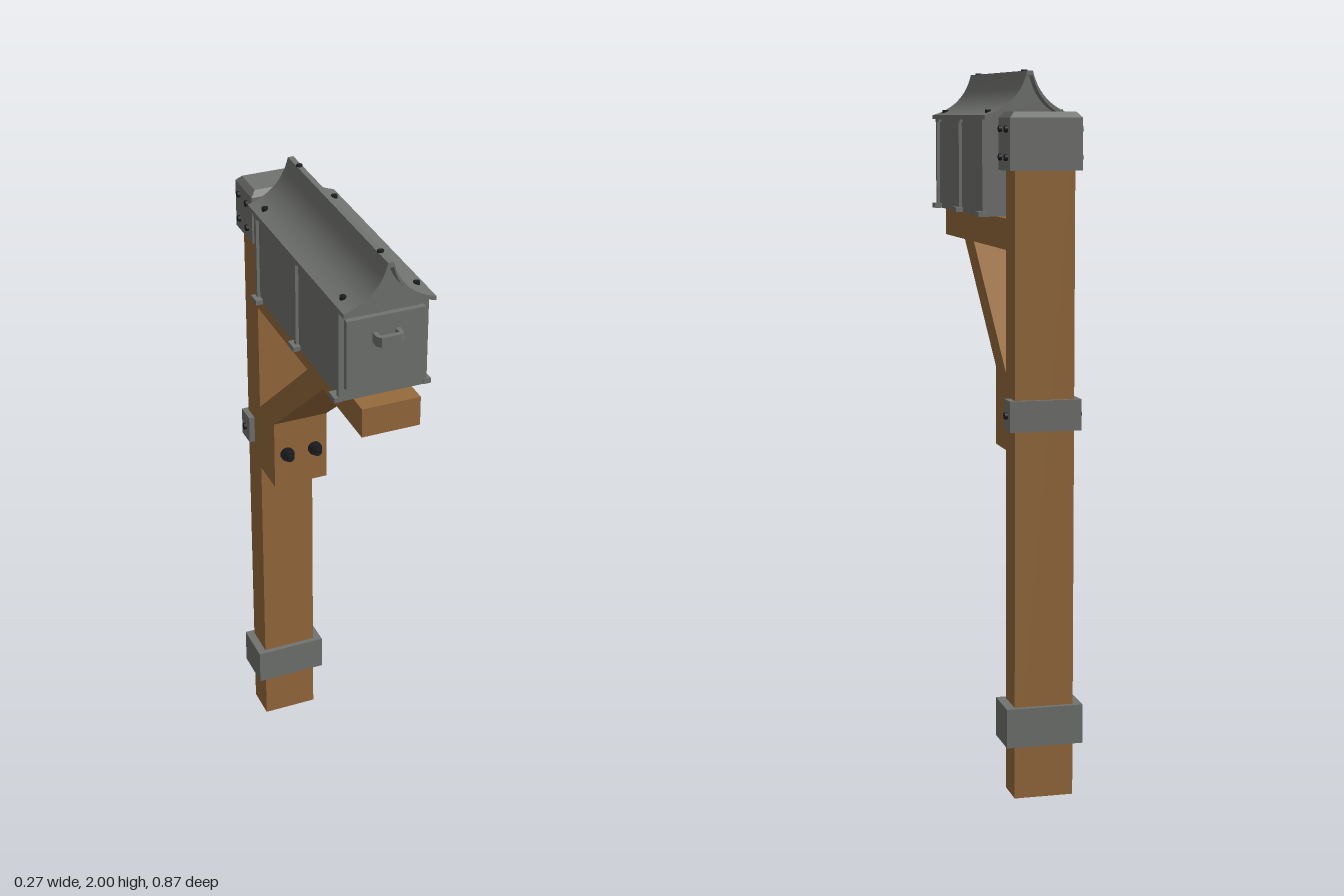
import * as THREE from 'three';
import { toCreasedNormals } from 'three/addons/utils/BufferGeometryUtils.js';

export function createModel() {
  const model = new THREE.Group();
  model.name = 'mailboxOnPost';

  const material = (name, color) => {
    const m = new THREE.MeshStandardMaterial({ color });
    m.name = name;
    return m;
  };
  const wood = material('wood', 0x966a3c);
  const metal = material('greyMetal', 0x717370);
  const iron = material('blackIron', 0x1d1e20);

  const add = (name, geometry, mat, parent = model) => {
    const mesh = new THREE.Mesh(geometry, mat);
    mesh.name = name;
    parent.add(mesh);
    return mesh;
  };
  // Box given by its limits on each axis
  const box = (name, mat, [x0, x1], [y0, y1], [z0, z1], parent = model) => {
    const g = new THREE.BoxGeometry(x1 - x0, y1 - y0, z1 - z0);
    g.translate((x0 + x1) / 2, (y0 + y1) / 2, (z0 + z1) / 2);
    return add(name, g, mat, parent);
  };
  const bolt = (name, axis, x, y, z, radius, length, sides = 12, parent = model) => {
    const g = new THREE.CylinderGeometry(radius, radius, length, sides);
    if (axis === 'x') g.rotateZ(Math.PI / 2);
    if (axis === 'z') g.rotateX(Math.PI / 2);
    add(name, g, iron, parent).position.set(x, y, z);
  };
  const polygon = (points) => new THREE.Shape(points.map(([x, y]) => new THREE.Vector2(x, y)));
  const extrude = (shape, depth) => new THREE.ExtrudeGeometry(shape, { depth, bevelEnabled: false });

  // Post and arm
  const W = 0.083;
  box('post', wood, [-W, W], [0, 1.86], [-0.42, -0.32]);
  box('arm', wood, [-W, W], [1.515, 1.6], [-0.32, 0.435]);

  // Diagonal brace with its block, drawn in the z-y plane
  const brace = extrude(polygon([
    [-0.32, 0.965], [-0.205, 0.965], [-0.205, 1.185], [0.175, 1.515], [0.06, 1.515], [-0.32, 1.18],
  ]), 2 * W);
  brace.rotateY(-Math.PI / 2);
  brace.translate(W, 0, 0);
  add('brace', brace, wood);

  // Bolts through the brace block
  for (const x of [-0.044, 0.044]) {
    bolt('braceWasher', 'z', x, 1.075, -0.2, 0.021, 0.012, 16);
    bolt('braceNut', 'z', x, 1.075, -0.19, 0.018, 0.016, 6);
    bolt('braceBolt', 'z', x, 1.075, -0.182, 0.01, 0.022);
  }

  // Foot band
  box('footBand', metal, [-0.108, 0.108], [0.15, 0.26], [-0.433, -0.305]);

  // Bracket wrapped round the back of the post
  const bracket = new THREE.Group();
  bracket.name = 'middleBracket';
  model.add(bracket);
  box('bracketBack', metal, [-0.1, 0.1], [1.03, 1.115], [-0.432, -0.42], bracket);
  for (const s of [-1, 1]) {
    const xs = s > 0 ? [W, 0.1] : [-0.1, -W];
    box('bracketSide', metal, xs, [1.03, 1.115], [-0.42, -0.37], bracket);
    bolt('bracketBolt', 'x', s * 0.102, 1.072, -0.4, 0.01, 0.012, 12, bracket);
  }

  // Post cap with a sloped top
  const cap = new THREE.Group();
  cap.name = 'postCap';
  model.add(cap);
  box('capBand', metal, [-0.1, 0.1], [1.73, 1.87], [-0.433, -0.305], cap);
  const top = new THREE.BoxGeometry(0.2, 0.016, 0.128);
  const p = top.attributes.position;
  for (let i = 0; i < p.count; i++) {
    if (p.getY(i) > 0) p.setXYZ(i, p.getX(i) * 0.85, p.getY(i), p.getZ(i) * 0.78);
  }
  top.computeVertexNormals();
  add('capTop', top, metal, cap).position.set(0, 1.878, -0.369);
  for (const s of [-1, 1]) for (const y of [1.765, 1.84]) for (const z of [-0.338, -0.402]) {
    bolt('capBolt', 'x', s * 0.102, y, z, 0.009, 0.012, 12, cap);
  }

  // Mailbox body
  const mailbox = new THREE.Group();
  mailbox.name = 'mailbox';
  model.add(mailbox);
  box('body', metal, [-0.116, 0.116], [1.6, 1.866], [-0.222, 0.378], mailbox);
  box('door', metal, [-0.11, 0.11], [1.64, 1.84], [0.378, 0.394], mailbox);

  // Side ribs with feet at top and bottom
  for (const s of [-1, 1]) {
    const span = (a, b) => (s > 0 ? [a, b] : [-b, -a]);
    for (const z of [-0.207, 0.075, 0.36]) {
      const edge = z < 0 ? -0.215 : z > 0.2 ? 0.371 : z;
      box('rib', metal, span(0.115, 0.125), [1.6, 1.866], [edge - 0.007, edge + 0.007], mailbox);
      box('ribFoot', metal, span(0.115, 0.137), [1.6, 1.614], [z - 0.02, z + 0.02], mailbox);
      box('ribHead', metal, span(0.115, 0.126), [1.856, 1.868], [z - 0.02, z + 0.02], mailbox);
    }
  }

  // Door handle
  const grip = polygon([
    [-0.038, 0.394], [-0.038, 0.418], [-0.028, 0.43], [0.028, 0.43], [0.038, 0.418],
    [0.038, 0.394], [0.026, 0.394], [0.026, 0.416], [-0.026, 0.416], [-0.026, 0.394],
  ]);
  const handle = extrude(grip, 0.028);
  handle.rotateX(Math.PI / 2);
  add('doorHandle', handle, metal, mailbox).position.y = 1.795;

  // Concave roof sheet: outer curve over a lower inner curve
  const slope = (x, y, drop) => new THREE.QuadraticBezierCurve(
    new THREE.Vector2(x, y), new THREE.Vector2(0.03, 1.902 - drop), new THREE.Vector2(0.008, 1.996 - drop),
  ).getPoints(14).map((v) => [v.x, v.y]);
  const mirrored = (half) => [...half, ...half.map(([x, y]) => [-x, y]).reverse()];
  const outer = mirrored(slope(0.128, 1.876, 0));
  const inner = mirrored(slope(0.128, 1.864, 0.014));
  const roof = extrude(polygon([...outer, ...inner.slice().reverse()]), 0.675);
  add('roof', toCreasedNormals(roof, 0.5), metal, mailbox).position.z = -0.26;
  add('gable', extrude(polygon(inner), 0.6), metal, mailbox).position.z = -0.222;

  // Roof bolts along the eaves and ridge
  for (const z of [-0.195, 0.35]) {
    for (const s of [-1, 1]) bolt('eaveBolt', 'y', s * 0.102, 1.885, z, 0.009, 0.014, 12, mailbox);
    bolt('ridgeBolt', 'y', 0, 1.994, z, 0.009, 0.012, 12, mailbox);
  }

  return model;
}
